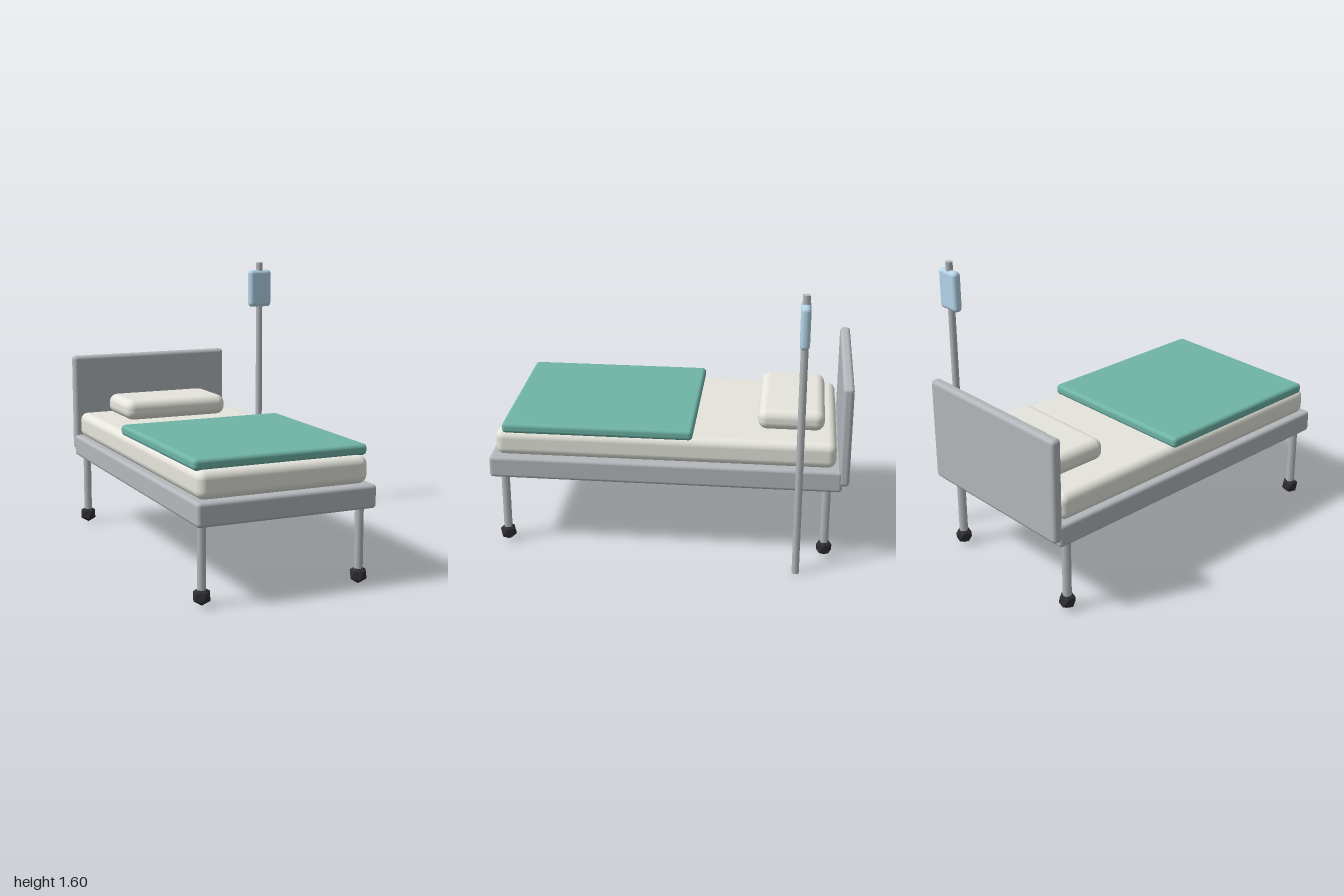
import * as THREE from 'three';
import { RoundedBoxGeometry } from 'three/addons/geometries/RoundedBoxGeometry.js';
import { ConvexGeometry } from 'three/addons/geometries/ConvexGeometry.js';

const mat = (color) => new THREE.MeshStandardMaterial({ color });

export function createModel() {
  const model = new THREE.Group();
  const metal = mat(0xb4b8bc);
  const linen = mat(0xe6e6de);
  const sheet = mat(0x6fb5a6);
  const fluid = mat(0xb5d5ea);
  const rubber = mat(0x2e2e32);

  const add = (name, geometry, material, x, y, z) => {
    const mesh = new THREE.Mesh(geometry, material);
    mesh.name = name;
    mesh.position.set(x, y, z);
    model.add(mesh);
  };

  // Soft-edged box given by its extents on each axis
  const slab = (name, material, [x0, x1], [y0, y1], [z0, z1], radius, steps = 3) =>
    add(name, new RoundedBoxGeometry(x1 - x0, y1 - y0, z1 - z0, steps, radius), material,
      (x0 + x1) / 2, (y0 + y1) / 2, (z0 + z1) / 2);

  // Upright tube standing between two heights
  const post = (name, x, z, y0, y1, radius, sides) =>
    add(name, new THREE.CylinderGeometry(radius, radius, y1 - y0, sides), metal, x, (y0 + y1) / 2, z);

  // Bed
  slab('bedFrame', metal, [-0.617, 0.387], [0.418, 0.544], [-0.962, 0.998], 0.02);
  slab('headboard', metal, [-0.617, 0.387], [0.455, 1.035], [-1, -0.941], 0.022);
  slab('mattress', linen, [-0.596, 0.36], [0.542, 0.69], [-0.925, 0.963], 0.045);
  slab('pillow', linen, [-0.433, 0.204], [0.69, 0.808], [-0.857, -0.488], 0.05, 4);
  slab('blanket', sheet, [-0.603, 0.373], [0.684, 0.744], [-0.139, 0.92], 0.022);

  // Faceted caster: two poles and two staggered rings of five
  const r = 0.05;
  const points = [new THREE.Vector3(0, r, 0), new THREE.Vector3(0, -r, 0)];
  for (let i = 0; i < 5; i++) {
    const a = (i * Math.PI * 2) / 5;
    const p = new THREE.Vector3(0.894 * Math.cos(a), 0.447, 0.894 * Math.sin(a)).multiplyScalar(r);
    points.push(p, p.clone().negate());
  }
  const caster = new ConvexGeometry(points);

  // Legs with casters
  for (const x of [-0.564, 0.328]) {
    for (const z of [0.92, -0.88]) {
      post('leg', x, z, 0.06, 0.44, 0.024, 8);
      add('caster', caster, rubber, x, 0.053, z);
    }
  }

  // Drip stand beside the bed
  post('dripPole', 0.54, -0.726, 0, 1.595, 0.02, 10);
  slab('dripBag', fluid, [0.466, 0.615], [1.319, 1.55], [-0.752, -0.7], 0.024);

  return model;
}
